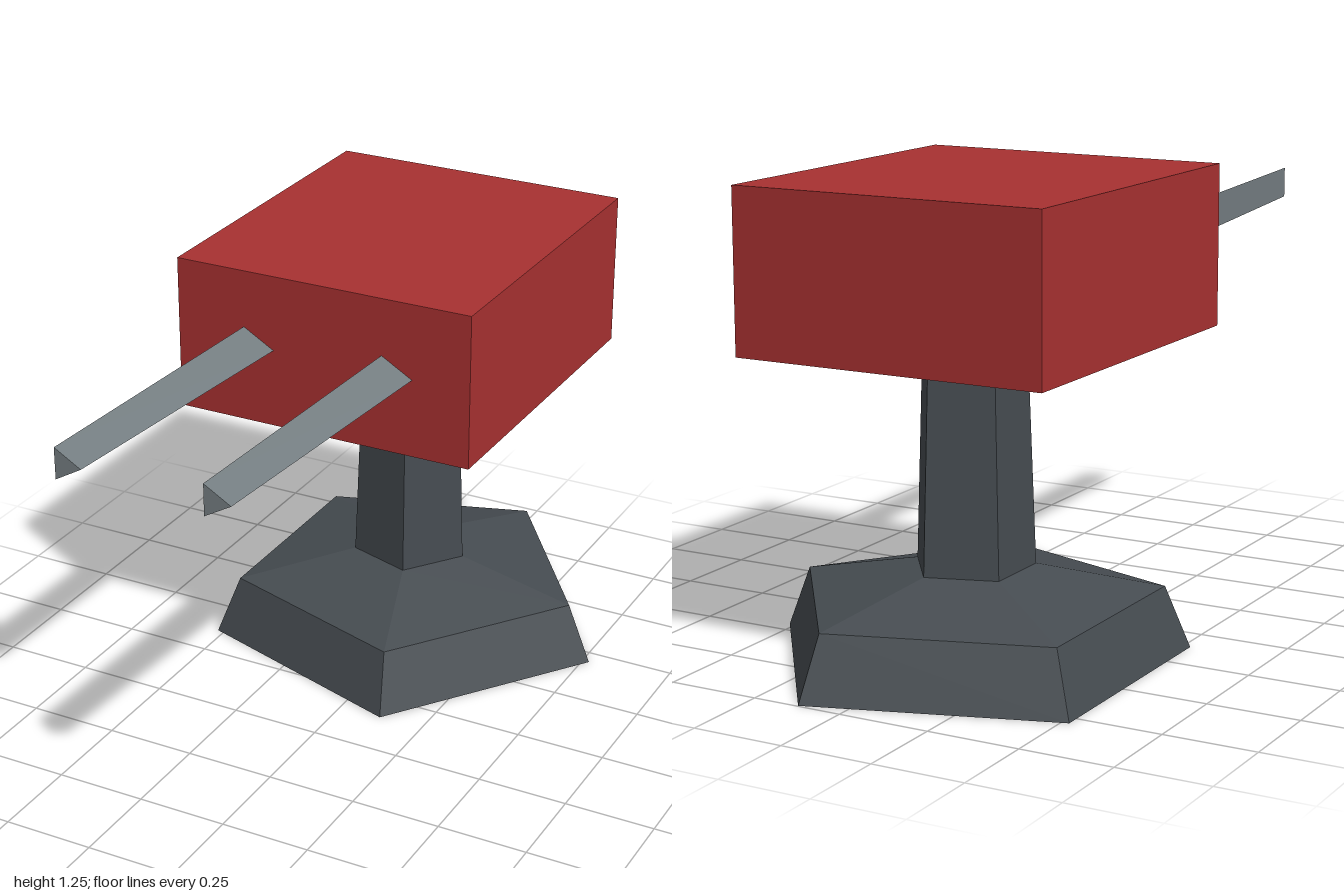
import * as THREE from 'three';

// Separate the faces so every facet gets a flat normal
function faceted(geometry) {
  const g = geometry.toNonIndexed();
  g.computeVertexNormals();
  return g;
}

export function createModel() {
  const model = new THREE.Group();
  model.name = 'turret';
  const red = new THREE.MeshStandardMaterial({ color: 0xa83131 });
  red.name = 'red paint';
  const darkSteel = new THREE.MeshStandardMaterial({ color: 0x464c51 });
  darkSteel.name = 'dark steel';
  const gunMetal = new THREE.MeshStandardMaterial({ color: 0x747d81 });
  gunMetal.name = 'gun metal';

  const add = (name, geometry, material, x, y, z) => {
    const mesh = new THREE.Mesh(geometry, material);
    mesh.name = name;
    mesh.position.set(x, y, z);
    model.add(mesh);
  };

  // Five-sided parts turned from a profile, with one corner towards +x
  const pentagon = (profile) => faceted(new THREE.LatheGeometry(
    profile.map(([r, y]) => new THREE.Vector2(r, y)), 5, Math.PI / 2));

  // Base with bevelled rim and sloping top
  add('base', pentagon([[0, 0], [0.575, 0], [0.506, 0.17], [0.166, 0.245]]), darkSteel, -0.055, 0, -0.45);

  // Tapered column
  add('column', pentagon([[0.166, 0.245], [0.145, 0.825]]), darkSteel, -0.055, 0, -0.45);

  // Gun housing
  add('housing', new THREE.BoxGeometry(0.865, 0.43, 0.963), red, -0.0575, 1.04, -0.3885);

  // Tapered three-sided barrels, sheared upwards so their ends stay vertical
  const barrel = new THREE.CylinderGeometry(0.049, 0.06, 0.95, 3, 1, false, Math.PI / 2);
  barrel.rotateX(Math.PI / 2);
  const p = barrel.attributes.position;
  for (let i = 0; i < p.count; i++) p.setY(i, p.getY(i) + p.getZ(i) * 0.049);
  const barrelFaces = faceted(barrel);
  add('rightBarrel', barrelFaces, gunMetal, -0.26, 1.065, 0.525);
  add('leftBarrel', barrelFaces, gunMetal, 0.15, 1.065, 0.525);

  return model;
}
